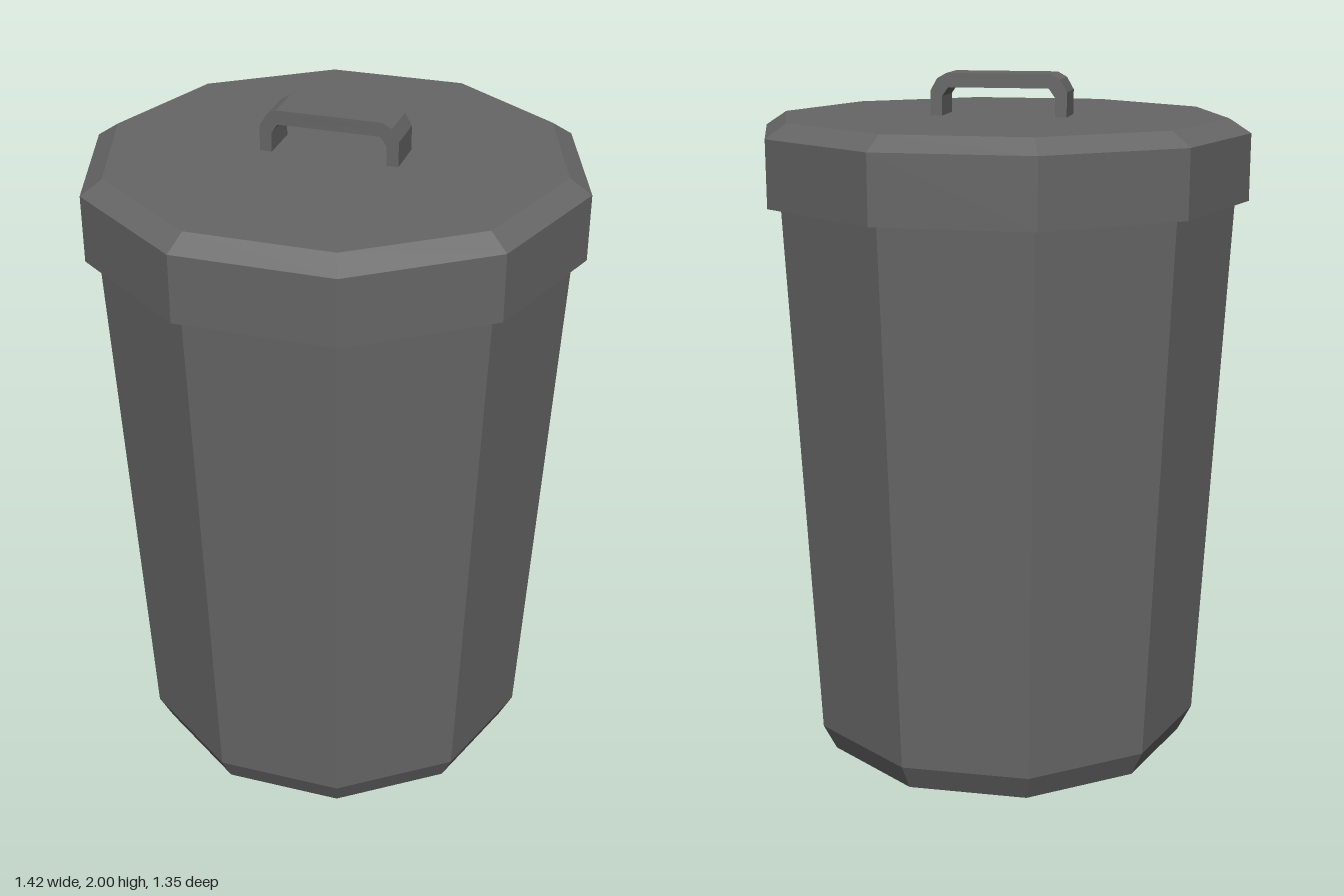
import * as THREE from 'three';

const SIDES = 10;

export function createModel() {
  const bin = new THREE.Group();
  bin.name = 'trashCan';
  const material = new THREE.MeshStandardMaterial({
    color: 0x666666, flatShading: true, side: THREE.DoubleSide,
  });

  const addPart = (name, geometry) => {
    const mesh = new THREE.Mesh(geometry, material);
    mesh.name = name;
    bin.add(mesh);
    return mesh;
  };

  // Ten-sided shell from a [radius, height] profile, one corner on the x axis
  const shell = (profile) => new THREE.LatheGeometry(
    profile.map(([r, y]) => new THREE.Vector2(r, y)), SIDES, Math.PI / 2);

  // Tapered body with a bevelled foot, running up inside the lid
  addPart('body', shell([[0, 0], [0.555, 0], [0.595, 0.08], [0.673, 1.65], [0.682, 1.84]]));

  // Lid: straight rim open underneath, bevelled edge and flat top
  addPart('lid', shell([[0.712, 1.65], [0.712, 1.84], [0.65, 1.88], [0, 1.88]]));

  // Handle: arch with rounded corners, mirrored outline extruded along z
  const outer = [[0.197, 1.875], [0.197, 1.95], [0.177, 1.985], [0.15, 2]];
  const inner = [[0.163, 1.875], [0.163, 1.935], [0.145, 1.96]];
  const mirror = (points) => points.map(([x, y]) => [-x, y]).reverse();
  const outline = [...outer, ...mirror(outer), ...mirror(inner).reverse(), ...inner.slice().reverse()];
  const arch = new THREE.Shape(outline.map(([x, y]) => new THREE.Vector2(x, y)));
  const handle = new THREE.ExtrudeGeometry(arch, { depth: 0.13, bevelEnabled: false });
  handle.translate(0, 0, -0.065);
  addPart('handle', handle);

  return bin;
}
